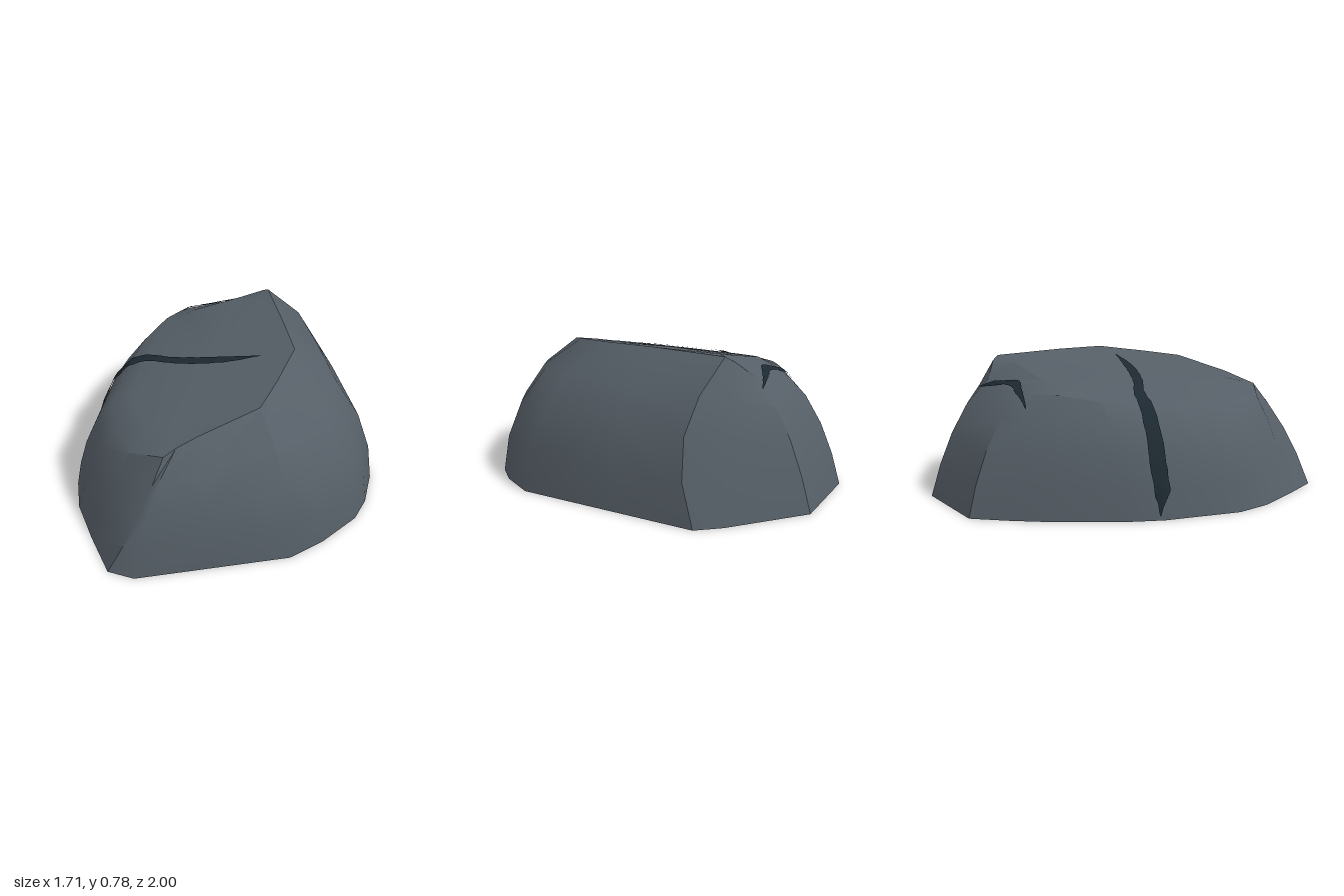
import * as THREE from 'three';
import { toCreasedNormals } from 'three/addons/utils/BufferGeometryUtils.js';

const stone = new THREE.MeshStandardMaterial({ color: 0x555e66 });
stone.name = 'slate grey stone';
const dark = new THREE.MeshStandardMaterial({ color: 0x1d2931, side: THREE.DoubleSide });
dark.name = 'dark crack';

// Each column of the boulder: foot x, foot z, rim x, rim z,
// flatness (0 bulging, 1 straight), drop of the rim, z shift at mid height
const columns = [
  [-0.09, -1, -0.05, -0.65, 0.35, 0.06], [0.39, -1, 0.32, -0.65, 0.45, 0.1],
  [0.75, -0.69, 0.41, -0.57, 0.6, 0.03], [0.85, -0.57, 0.43, -0.53, 0.1, 0.01, 0.1],
  [0.85, -0.1, 0.42, -0.1], [0.85, 0.46, 0.41, 0.20],
  [0.75, 0.66, 0.33, 0.32], [0.65, 0.78, 0.26, 0.43], [0.42, 0.92, 0.18, 0.54],
  [0.22, 1, 0.12, 0.62], [-0.2, 1, -0.22, 0.71, 0.1], [-0.6, 1, -0.33, 0.74, 0.35, 0.01],
  [-0.73, 0.93, -0.40, 0.77, 1, 0.02, 0.05], [-0.80, 0.68, -0.56, 0.64, 0.7, 0.04],
  [-0.86, 0.42, -0.61, 0.42, 0.5, 0.03], [-0.86, 0.22, -0.62, 0.20, 0.3, 0.02],
  [-0.72, -0.19, -0.46, -0.20, 0.25, 0.02], [-0.63, -0.35, -0.38, -0.35, 0.25, 0.02],
  [-0.40, -0.67, -0.22, -0.53, 0.25, 0.02], [-0.24, -0.85, -0.12, -0.61, 0.3, 0.04],
];
// Bulging side profile: inward fraction, height fraction
const profile = [[0, 0], [0.07, 0.28], [0.23, 0.55], [0.5, 0.79], [1, 1]];
const topHeight = (x) => 0.69 + 0.21 * x;

function boulderGeometry() {
  const n = columns.length, pos = [], index = [];
  // Rings up the sides, then one smaller ring on the sloping top
  for (const [inward, v] of profile) {
    for (const [bx, bz, rx, rz, flat = 0, drop = 0, shift = 0] of columns) {
      const h = THREE.MathUtils.lerp(inward, v, flat);
      const z = bz + (rz - bz) * h + shift * Math.sin(Math.PI * v);
      pos.push(bx + (rx - bx) * h, (topHeight(rx) - drop) * v, z);
    }
  }
  for (const [, , rx, rz] of columns) {
    const x = rx * 0.8 - 0.01, z = rz * 0.8 + 0.01;
    pos.push(x, topHeight(x), z);
  }
  const rings = profile.length + 1;
  const apex = n * rings, under = apex + 1;
  pos.push(-0.05, topHeight(-0.05) + 0.004, 0.05, 0, 0, 0);

  for (let i = 0; i < n; i++) {
    const j = (i + 1) % n;
    for (let k = 0; k < rings - 1; k++) {
      const a = k * n + i, b = k * n + j;
      index.push(a, a + n, b, b, a + n, b + n);
    }
    const last = (rings - 1) * n;
    index.push(last + i, apex, last + j);
    index.push(i, j, under);
  }
  const g = new THREE.BufferGeometry();
  g.setAttribute('position', new THREE.Float32BufferAttribute(pos, 3));
  g.setIndex(index);
  return toCreasedNormals(g, 0.55);
}

// Thin ribbon draped over the rock; path points are x, z, half width
function crack(name, rock, path) {
  const curve = new THREE.CatmullRomCurve3(path.map((p) => new THREE.Vector3(...p)));
  const ray = new THREE.Raycaster();
  const down = new THREE.Vector3(0, -1, 0);
  const drape = (x, z) => {
    ray.set(new THREE.Vector3(x, 2, z), down);
    const hit = ray.intersectObject(rock)[0];
    if (!hit) return new THREE.Vector3(x, 0.01, z);
    return hit.point.clone().addScaledVector(hit.face.normal, 0.008);
  };
  const steps = 60, across = 4, pos = [], index = [];
  for (let i = 0; i <= steps; i++) {
    const p = curve.getPoint(i / steps);
    const w = Math.max(p.z, 0.001) * (1 + 0.06 * Math.sin(i * 1.3));
    for (let k = 0; k <= across; k++) {
      pos.push(...drape(p.x, p.y + w * (2 * k / across - 1)).toArray());
      if (i < steps && k < across) {
        const a = i * (across + 1) + k, b = a + across + 1;
        index.push(a, a + 1, b, b, a + 1, b + 1);
      }
    }
  }
  const g = new THREE.BufferGeometry();
  g.setAttribute('position', new THREE.Float32BufferAttribute(pos, 3));
  g.setIndex(index);
  g.computeVertexNormals();
  const mesh = new THREE.Mesh(g, dark);
  mesh.name = name;
  return mesh;
}

export function createModel() {
  const group = new THREE.Group();
  group.name = 'boulder';

  const rock = new THREE.Mesh(boulderGeometry(), stone);
  rock.name = 'rock';
  group.add(rock);

  // Long crack running from the top down one side
  group.add(crack('longCrack', rock, [
    [-0.705, -0.18, 0.03], [-0.66, -0.185, 0.042], [-0.52, -0.15, 0.042], [-0.39, -0.107, 0.036],
    [-0.24, 0, 0.034], [-0.1, 0.075, 0.034], [0.05, 0.135, 0.026], [0.22, 0.183, 0.002],
  ]));
  // Short bent crack near the back
  group.add(crack('shortCrack', rock, [
    [-0.14, -0.67, 0.003], [-0.03, -0.645, 0.016], [0.08, -0.612, 0.028],
    [0.2, -0.65, 0.016], [0.34, -0.697, 0.003],
  ]));
  return group;
}
